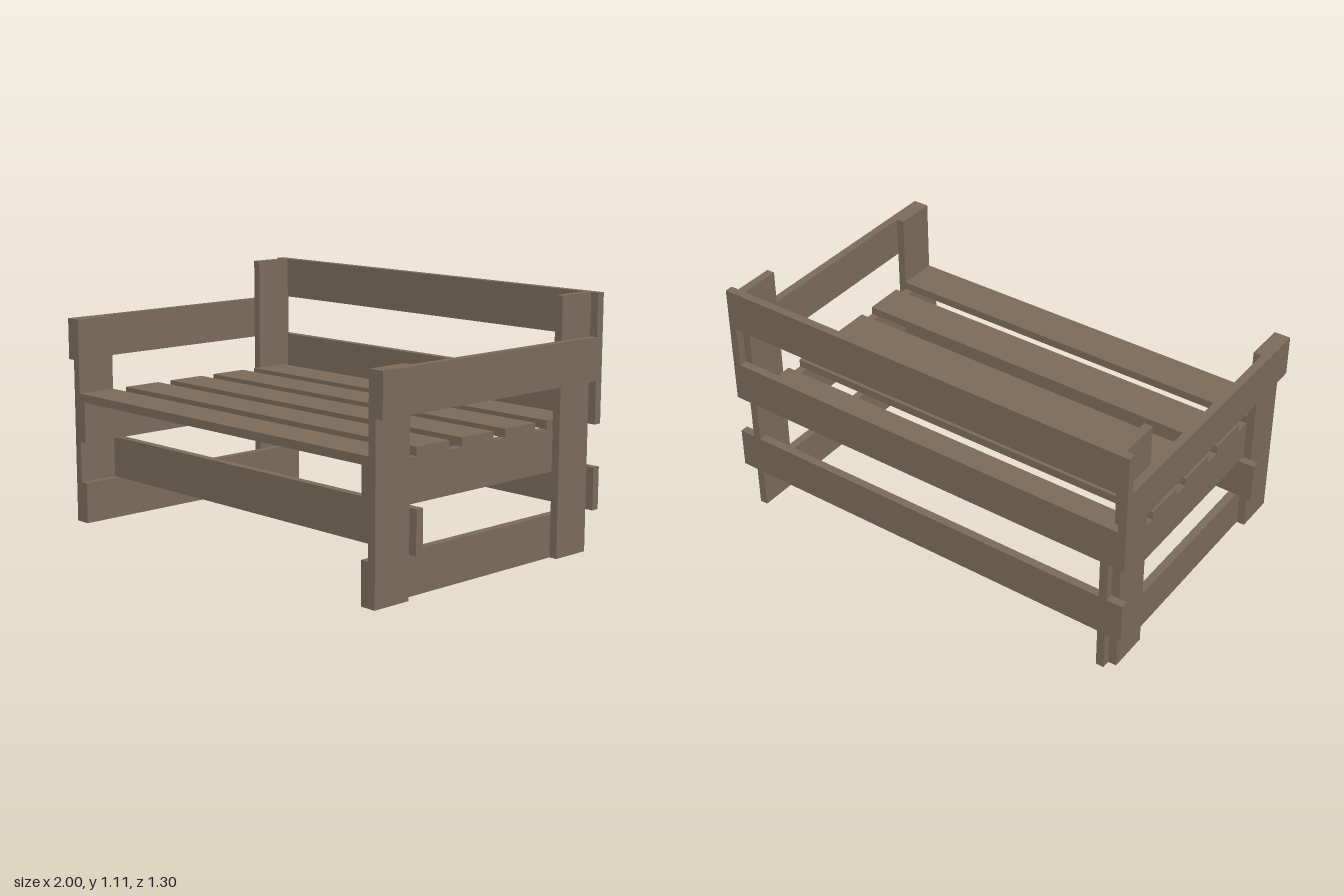
import * as THREE from 'three';

const T = 0.037;   // board thickness
const W = 0.1858;  // board width
const D = 0.65;    // half depth of the bench

export function createModel() {
  const bench = new THREE.Group();
  bench.name = 'slattedBench';
  const wood = new THREE.MeshStandardMaterial({ color: 0x7a6a59 });
  wood.name = 'weathered wood';

  // Board given by its lower and upper limits on each axis
  function board(name, x0, x1, y0, y1, z0, z1) {
    const mesh = new THREE.Mesh(new THREE.BoxGeometry(x1 - x0, y1 - y0, z1 - z0), wood);
    mesh.name = name;
    mesh.position.set((x0 + x1) / 2, (y0 + y1) / 2, (z0 + z1) / 2);
    bench.add(mesh);
  }

  // Side board, mirrored to left and right; layer 0 is outermost
  function sidePair(name, layer, y0, y1, z0, z1) {
    const outer = 1 - layer * T, inner = outer - T;
    board('left' + name, inner, outer, y0, y1, z0, z1);
    board('right' + name, -outer, -inner, y0, y1, z0, z1);
  }

  // Side frames: armrests outside, legs in the middle, rails inside
  sidePair('Armrest', 0, 4 * W, 5 * W, -D, D);
  sidePair('FrontLeg', 1, 0, 5 * W, D - W, D);
  sidePair('BackLeg', 1, 0, 6 * W, -D + T, -D + T + W);
  sidePair('BottomRail', 2, 0, W, -D, D);
  sidePair('SeatRail', 2, 2 * W, 3 * W, -D, D);

  // Long boards across the back, stacked between the side boards
  for (const [name, row] of [['lowerBackRail', 1], ['middleBackRail', 3], ['topBackRail', 5]]) {
    board(name, -1, 1, row * W, (row + 1) * W, -D, -D + T);
  }

  // Front stretcher behind the front legs
  board('frontRail', -1, 1, W, 2 * W, D - W - T, D - W);

  // Seat slats
  const span = 1 - 2 * T;
  for (let i = 0; i < 5; i++) {
    const front = D - i * 0.26;
    board('seatSlat' + (i + 1), -span, span, 3 * W, 3 * W + T, front - W, front);
  }

  return bench;
}
